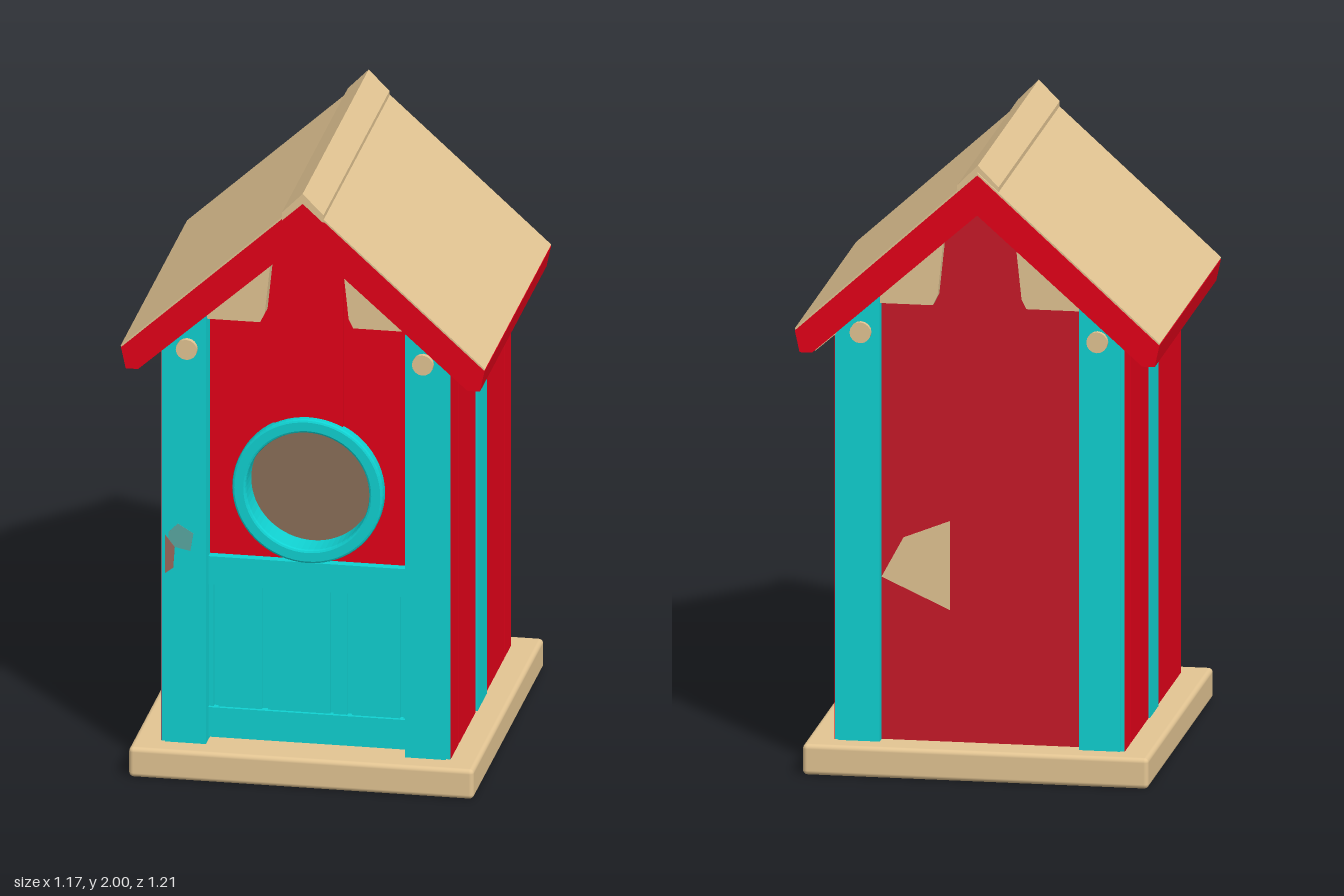
import * as THREE from 'three';
import { RoundedBoxGeometry } from 'three/addons/geometries/RoundedBoxGeometry.js';

const paint = (name, color, side = THREE.FrontSide) => {
  const m = new THREE.MeshStandardMaterial({ color, side });
  m.name = name;
  return m;
};

export function createModel() {
  const red = paint('barn red', 0xe50019);
  const backRed = paint('faded red', 0xc81a29);
  const teal = paint('teal', 0x10d2d2);
  const tan = paint('bare wood', 0xe3c593);
  const brown = paint('inner wood', 0x8b6f59, THREE.DoubleSide);
  const rust = paint('worn wood', 0x9c6a5c);
  const dullTeal = paint('worn teal', 0x5aa8a2);

  const house = new THREE.Group();
  house.name = 'birdhouse';

  const add = (parent, name, geo, mat) => {
    const mesh = new THREE.Mesh(geo, mat);
    mesh.name = name;
    parent.add(mesh);
    return mesh;
  };
  // Box given by its limits on each axis
  const box = (parent, name, mat, x0, x1, y0, y1, z0, z1) => {
    const geo = new THREE.BoxGeometry(x1 - x0, y1 - y0, z1 - z0);
    geo.translate((x0 + x1) / 2, (y0 + y1) / 2, (z0 + z1) / 2);
    return add(parent, name, geo, mat);
  };
  // Flat outline pushed from z0 to z1, with an optional round hole
  const slab = (parent, name, mat, points, z0, z1, hole) => {
    const shape = new THREE.Shape(points.map(([x, y]) => new THREE.Vector2(x, y)));
    if (hole) shape.holes.push(new THREE.Path().absarc(0, hole.y, hole.r, 0, Math.PI * 2, true));
    const geo = new THREE.ExtrudeGeometry(shape, { depth: z1 - z0, bevelEnabled: false, curveSegments: 32 });
    geo.translate(0, 0, z0);
    return add(parent, name, geo, mat);
  };
  const flip = (points, s) => points.map(([x, y]) => [x * s, y]);
  // Closed outline mirrored from its right half, listed from apex to inner apex
  const chevron = (half) => [...half, ...flip(half.slice(1, -1), -1).reverse()];

  // Base board
  const base = add(house, 'base', new RoundedBoxGeometry(1.11, 0.1, 1.21, 3, 0.015), tan);
  base.position.y = 0.05;

  // Gable end walls, the front one set deeper between the posts
  const gable = [[-0.45, 0.1], [0.45, 0.1], [0.45, 1.46], [0, 1.87], [-0.45, 1.46]];
  slab(house, 'frontWall', red, gable, 0.405, 0.455, { y: 0.962, r: 0.205 });
  slab(house, 'backWall', backRed, gable, -0.49, -0.44);
  slab(house, 'frontCentreBoard', red,
    [[-0.115, 1.18], [0.11, 1.18], [0.11, 1.76], [0, 1.86], [-0.115, 1.76]], 0.45, 0.467);

  // Side walls, made of boards with narrow joints
  for (const s of [-1, 1]) {
    const wall = new THREE.Group();
    wall.name = s > 0 ? 'leftWall' : 'rightWall';
    house.add(wall);
    const xs = (a, b) => (s > 0 ? [a, b] : [-b, -a]);
    box(wall, 'sidePanel', red, ...xs(0.42, 0.46), 0.1, 1.43, -0.515, 0.515);
    for (const [z0, z1] of [[-0.518, -0.413], [-0.405, -0.085], [0.09, 0.376], [0.382, 0.518]])
      box(wall, 'sideBoard', red, ...xs(0.45, 0.466), 0.1, 1.43, z0, z1);
    box(wall, 'sideBatten', teal, ...xs(0.45, 0.47), 0.1, 1.43, -0.08, 0.08);
  }

  // Inside lining seen through the entrance
  box(house, 'innerBack', brown, -0.41, 0.41, 0.12, 1.4, -0.435, -0.43);
  box(house, 'innerLeft', brown, 0.405, 0.41, 0.12, 1.4, -0.43, 0.4);
  box(house, 'innerRight', brown, -0.41, -0.405, 0.12, 1.4, -0.43, 0.4);
  box(house, 'innerFloor', brown, -0.41, 0.41, 0.11, 0.12, -0.43, 0.4);
  box(house, 'innerCeiling', brown, -0.41, 0.41, 1.4, 1.41, -0.43, 0.4);

  // Corner posts with a stepped outer edge, pegs and gable brackets on both ends
  const postCore = [[0.32, 0.1], [0.465, 0.1], [0.465, 1.44], [0.32, 1.57]];
  const postFace = [[0.32, 0.1], [0.452, 0.1], [0.452, 1.45], [0.32, 1.57]];
  const bracket = [[0.32, 1.53], [0.15, 1.53], [0.135, 1.56], [0.115, 1.75], [0.32, 1.57]];
  for (const end of [1, -1]) {
    const zs = (a, b) => (end > 0 ? [a, b] : [-b, -a]);
    for (const s of [-1, 1]) {
      slab(house, 'cornerPost', teal, flip(postCore, s), ...zs(0.43, 0.52));
      slab(house, 'cornerPostFace', teal, flip(postFace, s), ...zs(0.515, 0.528));
      slab(house, 'gableBracket', tan, flip(bracket, s), ...zs(0.44, end > 0 ? 0.505 : 0.525));
      const peg = add(house, 'peg', new THREE.CylinderGeometry(0.034, 0.034, 0.03, 16), tan);
      peg.rotation.x = Math.PI / 2;
      peg.position.set(s * 0.38, 1.435, end * 0.53);
    }
  }

  // Entrance ring
  const ringShape = new THREE.Shape().absarc(0, 0, 0.235, 0, Math.PI * 2);
  ringShape.holes.push(new THREE.Path().absarc(0, 0, 0.206, 0, Math.PI * 2, true));
  const ring = add(house, 'entranceRing', new THREE.ExtrudeGeometry(ringShape,
    { depth: 0.085, bevelSize: 0.008, bevelThickness: 0.01, bevelSegments: 2, curveSegments: 32 }), teal);
  ring.position.set(0, 0.962, 0.4);

  // Lower door panel with rails and boards
  const door = new THREE.Group();
  door.name = 'door';
  house.add(door);
  box(door, 'doorBack', teal, -0.32, 0.32, 0.11, 0.72, 0.44, 0.462);
  box(door, 'topRail', teal, -0.32, 0.32, 0.625, 0.72, 0.44, 0.486);
  box(door, 'bottomRail', teal, -0.32, 0.32, 0.11, 0.21, 0.44, 0.486);
  for (const [x0, x1] of [[-0.32, -0.305], [-0.29, -0.15], [-0.13, 0.07], [0.08, 0.125], [0.14, 0.295], [0.305, 0.32]])
    box(door, 'doorBoard', teal, x0, x1, 0.2, 0.63, 0.44, 0.474);

  // Worn spots in the paint
  slab(house, 'backWornPatch', tan, [[0.32, 0.63], [0.25, 0.76], [0.1, 0.82], [0.1, 0.53]], -0.494, -0.489);
  slab(house, 'postWornPatch', rust,
    [[-0.451, 0.67], [-0.425, 0.69], [-0.42, 0.76], [-0.451, 0.8]], 0.526, 0.53);
  slab(house, 'postFadedPatch', dullTeal,
    [[-0.42, 0.76], [-0.37, 0.75], [-0.36, 0.81], [-0.41, 0.84], [-0.44, 0.81], [-0.44, 0.78]], 0.526, 0.529);

  // Pitched roof: red frame, wooden covering, soffit and ridge cap
  const roof = new THREE.Group();
  roof.name = 'roof';
  house.add(roof);
  slab(roof, 'roofFrame', red, chevron([[0, 1.97], [0.585, 1.44], [0.57, 1.37], [0.53, 1.37], [0, 1.84]]), -0.57, 0.572);
  slab(roof, 'roofCovering', tan, chevron([[0, 1.977], [0.586, 1.446], [0.583, 1.44], [0, 1.965]]), -0.566, 0.571);
  slab(roof, 'ridgeCap', tan, chevron([[0, 2], [0.067, 1.932], [0.067, 1.905], [0, 1.966]]), -0.558, 0.574);
  for (const s of [-1, 1])
    slab(roof, 'soffit', tan, flip([[0.46, 1.44], [0.46, 1.425], [0.525, 1.368], [0.53, 1.38]], s), -0.535, 0.535);

  return house;
}
